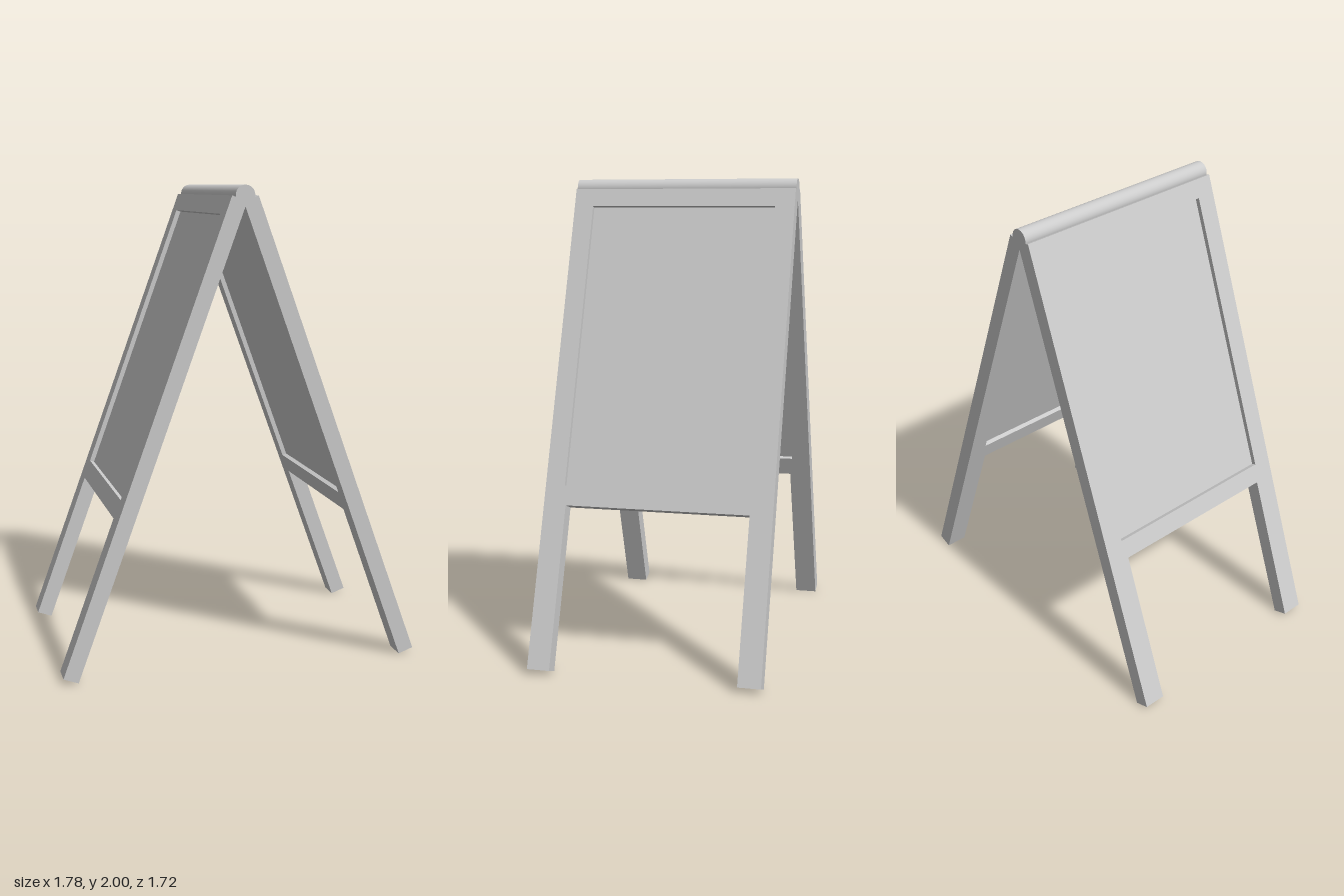
import * as THREE from 'three';

const HALF_W = 0.483;   // half width of a board
const LENGTH = 2.06;    // length along the slope
const THICK = 0.066;    // frame thickness
const TILT = THREE.MathUtils.degToRad(20);
const LEG_IN = 0.388;   // inner edge of the legs
const RAIL_Y = 0.675;   // underside of the lower rail
const WIN = { x: 0.4, y0: 0.758, y1: 1.982 }; // opening for the panel
const PANEL = 0.026;

const material = new THREE.MeshStandardMaterial({ color: 0xcccccc });

function addMesh(parent, name, geometry) {
  const mesh = new THREE.Mesh(geometry, material);
  mesh.name = name;
  parent.add(mesh);
  return mesh;
}

function polygon(points, Type) {
  return new Type(points.map(([x, y]) => new THREE.Vector2(x, y)));
}

// One leaning board: legs and rails in one outline, with an inset panel
function createBoard(name) {
  const board = new THREE.Group();
  board.name = name;

  const outline = polygon([
    [-HALF_W, 0], [-LEG_IN, 0], [-LEG_IN, RAIL_Y], [LEG_IN, RAIL_Y],
    [LEG_IN, 0], [HALF_W, 0], [HALF_W, LENGTH], [-HALF_W, LENGTH],
  ], THREE.Shape);
  outline.holes.push(polygon([
    [-WIN.x, WIN.y0], [-WIN.x, WIN.y1], [WIN.x, WIN.y1], [WIN.x, WIN.y0],
  ], THREE.Path));
  const frame = new THREE.ExtrudeGeometry(outline, { depth: THICK, bevelEnabled: false });
  frame.translate(0, 0, -THICK);
  addMesh(board, 'frame', frame);

  // Panel sits midway in the frame, recessed on both faces
  const panel = addMesh(board, 'panel',
    new THREE.BoxGeometry(WIN.x * 2, WIN.y1 - WIN.y0, PANEL));
  panel.position.set(0, (WIN.y0 + WIN.y1) / 2, -THICK / 2);

  // Lean back so the lowest (inner) foot edge rests on the ground
  board.rotation.x = -TILT;
  board.position.set(0, THICK * Math.sin(TILT), 0.759);
  return board;
}

export function createModel() {
  const model = new THREE.Group();
  model.name = 'sandwichBoard';

  // Two mirrored boards
  ['frontBoard', 'backBoard'].forEach((name, i) => {
    const side = new THREE.Group();
    side.name = name + 'Side';
    side.rotation.y = i * Math.PI;
    side.add(createBoard(name));
    model.add(side);
  });

  // Round hinge bar along the ridge
  const hinge = addMesh(model, 'hingeBar',
    new THREE.CylinderGeometry(0.04, 0.04, HALF_W * 2, 32));
  hinge.rotation.z = Math.PI / 2;
  hinge.position.y = 1.96;

  // The sign stands turned on the ground
  model.rotation.y = THREE.MathUtils.degToRad(50);
  return model;
}
